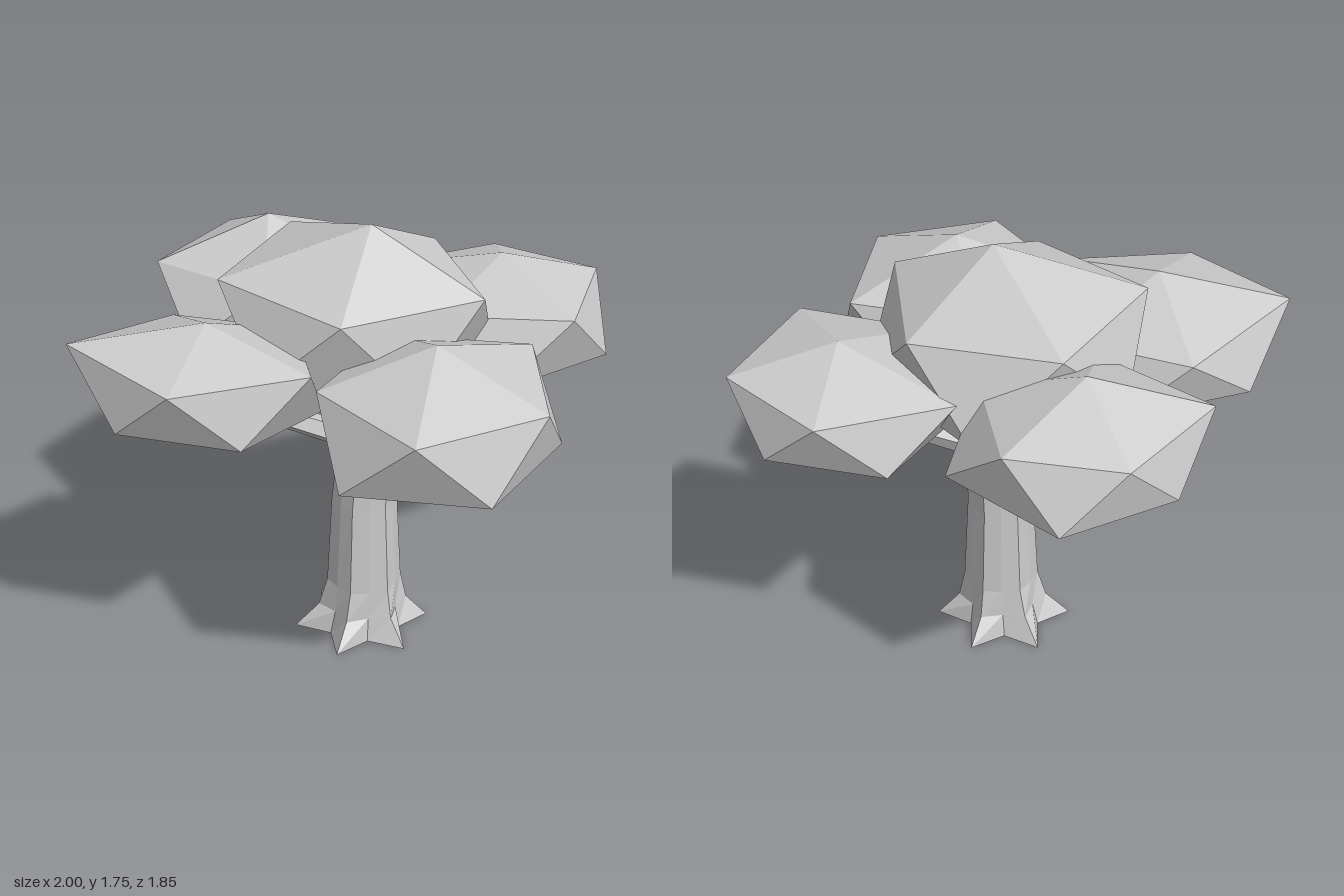
import * as THREE from 'three';

const material = new THREE.MeshStandardMaterial({ color: 0xcccccc, flatShading: true });

function addMesh(group, geometry, name) {
  const mesh = new THREE.Mesh(geometry, material);
  mesh.name = name;
  group.add(mesh);
  return mesh;
}

// Foliage: uneven twenty-sided clump made of an apex, two staggered
// five-cornered rings and a bottom corner. Rings list radii and heights.
function foliageGeometry({ center, apex, bottom, yaw, upper, lower }) {
  const corner = (ring, k, turn) => {
    const a = THREE.MathUtils.degToRad(yaw + turn + 72 * k);
    const r = ring.radii[k];
    return [center[0] + r * Math.cos(a), ring.heights[k], center[1] + r * Math.sin(a)];
  };
  const points = [];
  for (let k = 0; k < 5; k++) {
    const n = (k + 1) % 5;
    const u0 = corner(upper, k, 0), u1 = corner(upper, n, 0);
    const l0 = corner(lower, k, 36), l1 = corner(lower, n, 36);
    points.push(apex, u1, u0, u0, u1, l0, u1, l1, l0, bottom, l0, l1);
  }
  const geometry = new THREE.BufferGeometry();
  geometry.setAttribute('position', new THREE.Float32BufferAttribute(points.flat(), 3));
  geometry.computeVertexNormals();
  return geometry;
}

// Trunk: fluted column whose foot flares into six pointed roots
function trunkGeometry() {
  // height, centre x, radius at root ridges, radius in the valleys
  const rows = [
    [0, 0.05, 0.272, 0.16],
    [0.1, 0.055, 0.18, 0.142],
    [0.22, 0.06, 0.15, 0.137],
    [0.6, 0.06, 0.13, 0.119],
    [0.96, 0.08, 0.113, 0.104],
  ];
  const steps = rows.length - 1;
  const yaw = THREE.MathUtils.degToRad(53);
  const geometry = new THREE.CylinderGeometry(1, 1, 1, 12, steps);
  geometry.rotateY(Math.PI / 2 - yaw);
  const pos = geometry.attributes.position;
  for (let i = 0; i < pos.count; i++) {
    const x = pos.getX(i), z = pos.getZ(i);
    const [y, cx, ridge, valley] = rows[Math.round((pos.getY(i) + 0.5) * steps)];
    const onRidge = Math.cos(6 * (Math.atan2(z, x) - yaw)) > 0;
    const r = onRidge ? ridge : valley;
    pos.setXYZ(i, cx + x * r, y, 0.012 + z * r * 0.94);
  }
  geometry.computeVertexNormals();
  return geometry;
}

// Tapered branch between two points
function addBranch(group, from, to, name) {
  const dir = to.clone().sub(from);
  const branch = addMesh(group, new THREE.CylinderGeometry(0.035, 0.055, dir.length(), 5), name);
  branch.position.copy(from).addScaledVector(dir, 0.5);
  branch.quaternion.setFromUnitVectors(new THREE.Vector3(0, 1, 0), dir.normalize());
}

export function createModel() {
  const tree = new THREE.Group();
  tree.name = 'tree';

  addMesh(tree, trunkGeometry(), 'trunk');

  const crown = [
    { name: 'top', center: [0.02, -0.015], yaw: 26,
      apex: [0.08, 1.75, 0.01], bottom: [-0.02, 1.065, 0],
      upper: { radii: [0.508, 0.445, 0.503, 0.5, 0.461], heights: [1.54, 1.54, 1.57, 1.57, 1.54] },
      lower: { radii: [0.44, 0.49, 0.5, 0.54, 0.53], heights: [1.24, 1.27, 1.27, 1.26, 1.24] } },
    { name: 'front', center: [0.29, 0.5], yaw: 32,
      apex: [0.285, 1.51, 0.495], bottom: [0.29, 0.985, 0.5],
      upper: { radii: [0.42, 0.433, 0.42, 0.42, 0.478], heights: [1.355, 1.35, 1.355, 1.36, 1.355] },
      lower: { radii: [0.42, 0.455, 0.42, 0.45, 0.452], heights: [1.1, 1.1, 1.11, 1.11, 1.1] } },
    { name: 'right', center: [-0.52, 0.275], yaw: 34,
      apex: [-0.51, 1.51, 0.3], bottom: [-0.51, 0.99, 0.27],
      upper: { radii: [0.453, 0.39, 0.483, 0.397, 0.4], heights: [1.41, 1.4, 1.43, 1.35, 1.35] },
      lower: { radii: [0.387, 0.39, 0.428, 0.42, 0.42], heights: [1.185, 1.19, 1.17, 1.13, 1.13] } },
    { name: 'left', center: [0.585, -0.297], yaw: -14,
      apex: [0.595, 1.5, -0.295], bottom: [0.58, 1.06, -0.285],
      upper: { radii: [0.41, 0.45, 0.4, 0.47, 0.373], heights: [1.385, 1.39, 1.38, 1.38, 1.375] },
      lower: { radii: [0.444, 0.447, 0.42, 0.4, 0.368], heights: [1.14, 1.14, 1.15, 1.17, 1.17] } },
    { name: 'back', center: [-0.283, -0.535], yaw: 23,
      apex: [-0.3, 1.575, -0.53], bottom: [-0.27, 1.03, -0.53],
      upper: { radii: [0.4, 0.39, 0.465, 0.358, 0.363], heights: [1.41, 1.41, 1.42, 1.42, 1.42] },
      lower: { radii: [0.4, 0.49, 0.377, 0.396, 0.466], heights: [1.18, 1.19, 1.2, 1.2, 1.2] } },
  ];

  for (const part of crown) {
    addMesh(tree, foliageGeometry(part), part.name + 'Foliage');
    if (part.name === 'top') continue;
    // Each outer clump rests on a branch from the top of the trunk
    const base = new THREE.Vector3(0.075, 0.85, 0.01);
    const tip = new THREE.Vector3(part.center[0], 1.21, part.center[1]);
    addBranch(tree, base.clone().lerp(tip, 0.1), base.clone().lerp(tip, 0.8), part.name + 'Branch');
  }

  return tree;
}
